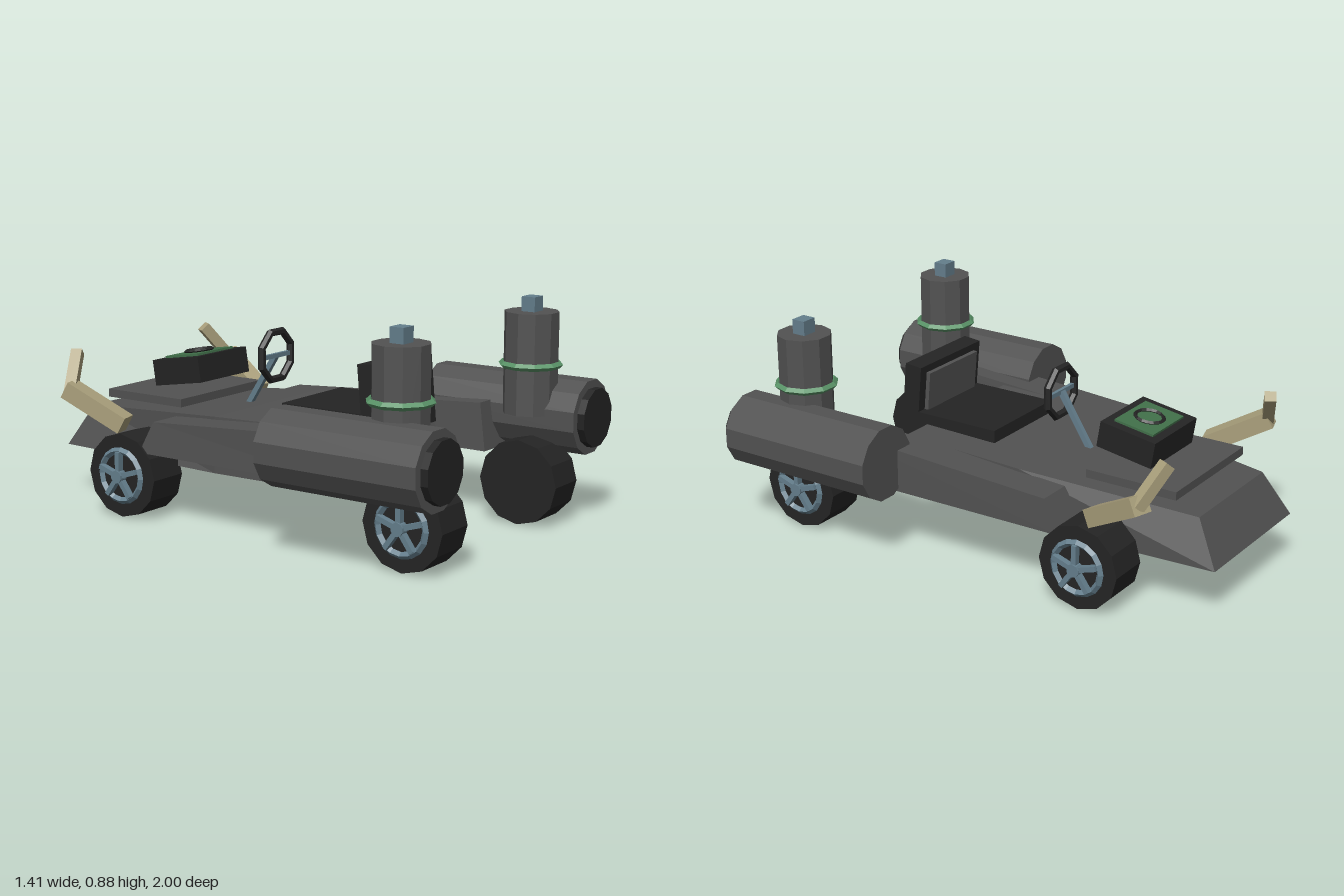
import * as THREE from 'three';

const mat = (name, color) => {
  const m = new THREE.MeshStandardMaterial({ color, flatShading: true });
  m.name = name;
  return m;
};

export function createModel() {
  const model = new THREE.Group();
  const grey = mat('body grey', 0x525252);
  const black = mat('rubber black', 0x242424);
  const steel = mat('steel blue', 0x647e8c);
  const green = mat('panel green', 0x41704a);
  const mint = mat('band green', 0x5a9468);
  const tan = mat('tan', 0xaaa07c);

  const add = (parent, name, geo, material, x = 0, y = 0, z = 0) => {
    const m = new THREE.Mesh(geo, material);
    m.name = name;
    m.position.set(x, y, z);
    parent.add(m);
    return m;
  };
  const box = (w, h, d) => new THREE.BoxGeometry(w, h, d);

  // Bar of rectangular section between two points
  const bar = (parent, name, a, b, w, h, material) => {
    const p = new THREE.Vector3(...a), q = new THREE.Vector3(...b);
    const m = add(parent, name, box(w, h, p.distanceTo(q)), material);
    m.position.copy(p).add(q).multiplyScalar(0.5);
    m.lookAt(q);
    return m;
  };

  // Four-sided loft; every section has a bottom and a top edge [x0, x1, y, z], ordered by z
  const loft = (sections) => {
    const rings = sections.map(({ b, t }) => [
      [b[0], b[2], b[3]], [b[1], b[2], b[3]], [t[1], t[2], t[3]], [t[0], t[2], t[3]],
    ]);
    const pos = [];
    const quad = (a, b, c, d) => [a, b, c, a, c, d].forEach((p) => pos.push(...p));
    for (let i = 0; i + 1 < rings.length; i++) {
      for (let j = 0; j < 4; j++) {
        const k = (j + 1) % 4;
        quad(rings[i][j], rings[i][k], rings[i + 1][k], rings[i + 1][j]);
      }
    }
    const first = rings[0], last = rings[rings.length - 1];
    quad(first[3], first[2], first[1], first[0]);
    quad(...last);
    const g = new THREE.BufferGeometry();
    g.setAttribute('position', new THREE.Float32BufferAttribute(pos, 3));
    g.computeVertexNormals();
    return g;
  };

  // Wedge-shaped chassis
  add(model, 'chassis', loft([
    { b: [-0.305, 0.305, 0.2, -1], t: [-0.25, 0.25, 0.37, -0.9] },
    { b: [-0.352, 0.352, 0.2, -0.18], t: [-0.348, 0.348, 0.424, -0.18] },
    { b: [-0.335, 0.335, 0.2, 0.46], t: [-0.335, 0.335, 0.437, 0.36] },
  ]), grey);
  add(model, 'hoodPlate', box(0.52, 0.033, 0.385), grey, 0, 0.433, -0.615);

  // Seat
  add(model, 'seatBase', box(0.4, 0.09, 0.38), black, 0, 0.435, 0.225);
  const back = new THREE.Group();
  back.name = 'seatBack';
  back.position.set(0, 0.532, 0.435);
  back.rotation.x = -0.09;
  model.add(back);
  add(back, 'backrest', box(0.4, 0.28, 0.075), black);
  add(back, 'backPad', box(0.32, 0.2, 0.02), grey, 0, 0.01, -0.045);

  // Steering wheel and column
  const rim = add(model, 'steeringRim', new THREE.TorusGeometry(0.102, 0.016, 6, 8), black, 0, 0.62, -0.143);
  rim.rotation.z = Math.PI / 8;
  add(model, 'steeringBar', box(0.18, 0.018, 0.014), steel, 0, 0.62, -0.143);
  bar(model, 'steeringColumn', [0, 0.62, -0.145], [0, 0.4, -0.285], 0.022, 0.022, steel);

  // Tilted engine box with panel and ring
  const engine = new THREE.Group();
  engine.name = 'engineBox';
  engine.position.set(0, 0.536, -0.53);
  engine.rotation.x = -0.16;
  model.add(engine);
  add(engine, 'engineCase', box(0.315, 0.105, 0.24), black);
  add(engine, 'enginePanel', box(0.23, 0.009, 0.17), green, 0, 0.057, 0);
  const dial = add(engine, 'panelRing', new THREE.TorusGeometry(0.055, 0.008, 4, 16), black, 0, 0.066, 0);
  dial.rotation.x = Math.PI / 2;

  for (const s of [-1, 1]) {
    const side = new THREE.Group();
    side.name = s > 0 ? 'leftSide' : 'rightSide';
    model.add(side);

    // Side pod
    const span = (inner, outer) => (s > 0 ? [inner, outer] : [-outer, -inner]);
    add(side, 'sidePod', loft([
      { b: [...span(0.33, 0.485), 0.27, -0.45], t: [...span(0.34, 0.48), 0.4, -0.38] },
      { b: [...span(0.33, 0.495), 0.27, 0.63], t: [...span(0.34, 0.495), 0.46, 0.6] },
    ]), grey);

    // Horizontal tank with dark nozzle
    const tank = add(side, 'tank', new THREE.CylinderGeometry(0.15, 0.15, 0.685, 12), grey, s * 0.56, 0.412, 0.628);
    tank.rotation.set(Math.PI / 2, Math.PI / 12, 0);
    const cap = add(side, 'tankNozzle', new THREE.CylinderGeometry(0.118, 0.118, 0.04, 12), black, s * 0.56, 0.412, 0.98);
    cap.rotation.set(Math.PI / 2, Math.PI / 12, 0);

    // Upright canister with band and valve
    add(side, 'canister', new THREE.CylinderGeometry(0.108, 0.108, 0.4, 10).rotateY(Math.PI / 2), grey, s * 0.463, 0.622, 0.752);
    add(side, 'canisterBand', new THREE.TorusGeometry(0.114, 0.014, 4, 10).rotateX(Math.PI / 2), mint, s * 0.463, 0.615, 0.752);
    add(side, 'canisterValve', box(0.065, 0.06, 0.058), steel, s * 0.463, 0.85, 0.752);

    // Bent pipes beside the nose
    bar(side, 'pipeLower', [s * 0.434, 0.36, -0.565], [s * 0.505, 0.49, -0.8], 0.08, 0.07, tan);
    bar(side, 'pipeUpper', [s * 0.51, 0.475, -0.785], [s * 0.4, 0.62, -0.845], 0.045, 0.045, tan);

    // Wheels with five-spoke hubs
    for (const z of [-0.535, 0.782]) {
      const wheel = new THREE.Group();
      wheel.name = z < 0 ? 'frontWheel' : 'rearWheel';
      wheel.position.set(s * 0.41, 0.168, z);
      wheel.rotation.y = s * Math.PI / 2;
      side.add(wheel);
      const tyre = new THREE.CylinderGeometry(0.168, 0.168, 0.168, 12).rotateX(Math.PI / 2);
      add(wheel, 'tyre', tyre, black);
      add(wheel, 'hubRing', new THREE.TorusGeometry(0.101, 0.014, 4, 16), steel, 0, 0, 0.088);
      add(wheel, 'hubCentre', new THREE.CylinderGeometry(0.026, 0.026, 0.034, 10).rotateX(Math.PI / 2), steel, 0, 0, 0.102);
      for (let i = 0; i < 5; i++) {
        const spoke = box(0.02, 0.085, 0.026).translate(0, 0.055, 0);
        add(wheel, 'spoke', spoke, steel, 0, 0, 0.1).rotation.z = (i * Math.PI * 2) / 5;
      }
    }
  }
  return model;
}
